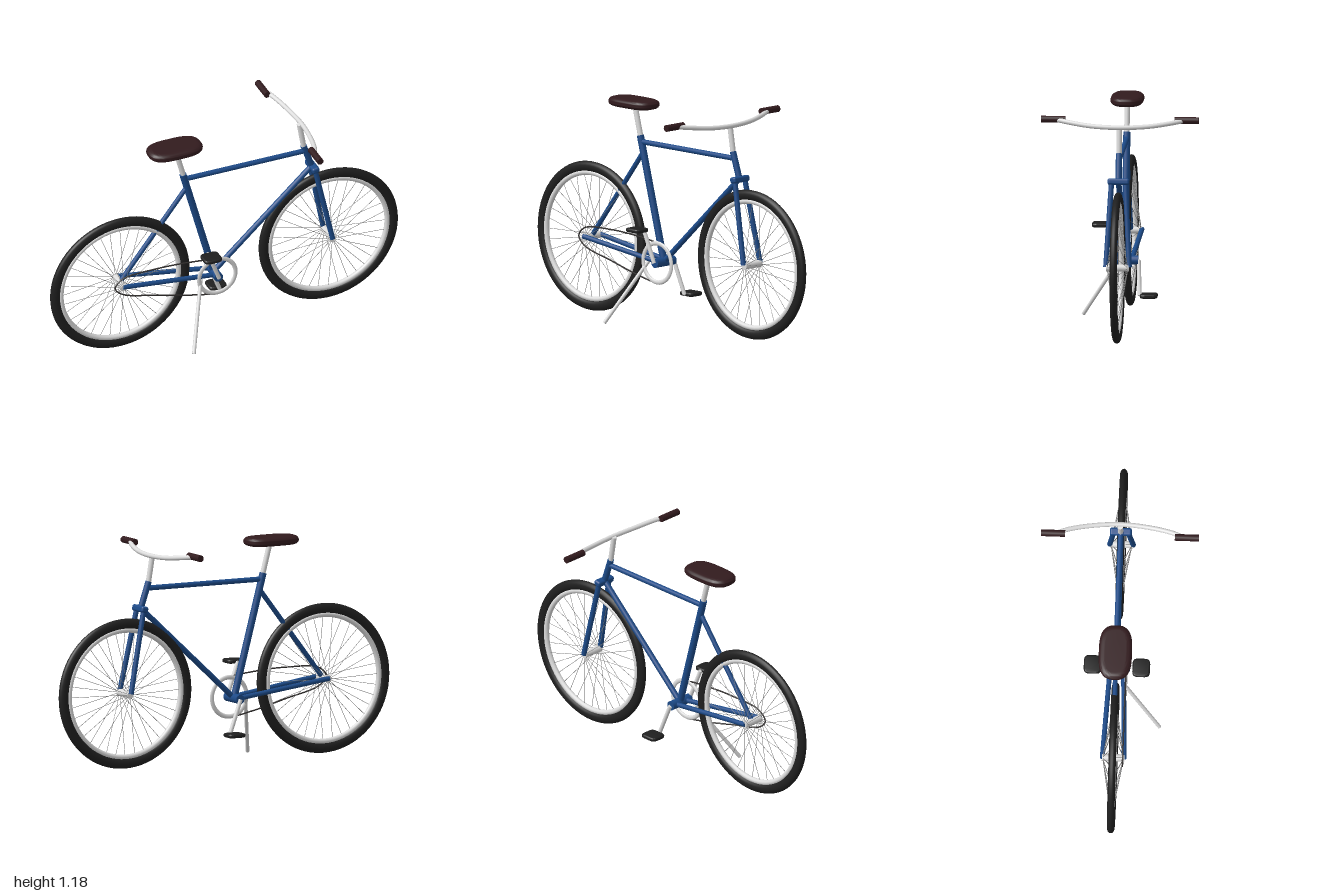
import * as THREE from 'three';
import { mergeGeometries, toCreasedNormals } from 'three/addons/utils/BufferGeometryUtils.js';
import { RoundedBoxGeometry } from 'three/addons/geometries/RoundedBoxGeometry.js';

const paint = (name, color) => {
  const m = new THREE.MeshStandardMaterial({ color });
  m.name = name;
  return m;
};
const V = (x, y, z = 0) => new THREE.Vector3(x, y, z);

// Cylinder geometry running from a to b
function rod(a, b, r, sides = 16) {
  const d = b.clone().sub(a);
  const g = new THREE.CylinderGeometry(r, r, d.length(), sides);
  g.applyQuaternion(new THREE.Quaternion().setFromUnitVectors(V(0, 1), d.normalize()));
  const mid = a.clone().add(b).multiplyScalar(0.5);
  return g.translate(mid.x, mid.y, mid.z);
}

// Flat pad with a rounded outline and soft edges, centred on its origin
function pad(halfX, halfZ, halfY, edge, power) {
  const outline = new THREE.Shape();
  for (let i = 0; i < 48; i++) {
    const a = i * Math.PI / 24, c = Math.cos(a), s = Math.sin(a);
    const x = (halfX - edge) * Math.sign(c) * Math.abs(c) ** power;
    const y = (halfZ - edge) * Math.sign(s) * Math.abs(s) ** power;
    i ? outline.lineTo(x, y) : outline.moveTo(x, y);
  }
  const depth = 0.004;
  const g = new THREE.ExtrudeGeometry(outline, {
    depth, bevelThickness: halfY - depth / 2, bevelSize: edge, bevelSegments: 8,
  }).translate(0, 0, -depth / 2).rotateX(-Math.PI / 2);
  return toCreasedNormals(g, 0.8);
}

export function createModel() {
  const blue = paint('frameBlue', 0x1c4a88);
  const silver = paint('silver', 0xdcdcdc);
  const rubber = paint('blackRubber', 0x1f1f1f);
  const leather = paint('brownLeather', 0x321b1e);
  const wire = paint('spokeGrey', 0x888888);
  const chainGrey = paint('chainGrey', 0x33302f);

  const bike = new THREE.Group();
  bike.name = 'bicycle';
  const add = (name, geo, mat, parent = bike) => {
    const m = new THREE.Mesh(geo, mat);
    m.name = name;
    parent.add(m);
    return m;
  };
  const tube = (name, a, b, r, mat = blue) => add(name, rod(a, b, r), mat);

  // Key joints
  const rearAxle = V(-0.6, 0.406), frontAxle = V(0.6, 0.406);
  const crankAxle = V(-0.06, 0.337), seatTop = V(-0.237, 0.993);
  const headTop = V(0.457, 0.995), headLow = V(0.508, 0.845);

  // Wheels: tyre, rim, hub and spokes, turned about z
  function wheel(name, centre) {
    const g = new THREE.Group();
    g.name = name;
    add('tyre', new THREE.TorusGeometry(0.372, 0.028, 14, 72).scale(1, 1, 0.72), rubber, g);
    add('rim', new THREE.TorusGeometry(0.339, 0.0145, 12, 72), silver, g);
    add('hub', rod(V(0, 0, -0.06), V(0, 0, 0.06), 0.019), silver, g);
    const spokes = [];
    for (let i = 0; i < 36; i++) {
      const a = i * Math.PI / 18, c = Math.cos(a), s = Math.sin(a);
      spokes.push(rod(V(c * 0.015, s * 0.015, i % 2 ? 0.054 : -0.054), V(c * 0.33, s * 0.33), 0.0013, 5));
    }
    add('spokes', mergeGeometries(spokes), wire, g);
    g.position.copy(centre);
    bike.add(g);
  }
  wheel('rearWheel', rearAxle);
  wheel('frontWheel', frontAxle);

  // Main frame tubes, with a single central seat stay
  tube('seatTube', crankAxle, seatTop, 0.019);
  tube('topTube', V(-0.225, 0.96), V(0.468, 0.96), 0.014);
  tube('downTube', crankAxle, V(0.504, 0.855), 0.015);
  tube('headTube', headLow, headTop, 0.017);
  tube('bottomBracket', V(-0.06, 0.337, -0.07), V(-0.06, 0.337, 0.07), 0.025);
  tube('seatStay', rearAxle, V(-0.208, 0.915), 0.013);

  // Paired chain stays and fork blades
  for (const [side, s] of [['left', 1], ['right', -1]]) {
    tube(side + 'ChainStay', V(-0.605, 0.41, s * 0.058), V(-0.06, 0.337, s * 0.035), 0.013);
    tube(side + 'ForkBlade', V(0.598, 0.41, s * 0.062), V(0.508, 0.85, s * 0.037), 0.014);
  }
  const crown = add('forkCrown', new RoundedBoxGeometry(0.042, 0.034, 0.116, 4, 0.012), blue);
  crown.position.set(0.508, 0.853, 0);
  crown.rotation.z = 0.2;

  // Saddle and post
  tube('seatPost', V(-0.23, 0.97), V(-0.278, 1.15), 0.0145, silver);
  add('saddle', pad(0.152, 0.088, 0.024, 0.032, 0.62), leather).position.set(-0.285, 1.163, 0);

  // Handlebar, stem and grips
  tube('stem', V(0.46, 0.98), V(0.434, 1.135), 0.0145, silver);
  const half = [[0.434, 1.137, 0.15], [0.405, 1.151, 0.27], [0.378, 1.16, 0.335]];
  const barPath = new THREE.CatmullRomCurve3([
    ...half.map(([x, y, z]) => V(x, y, -z)).reverse(), V(0.448, 1.132), ...half.map(p => V(...p)),
  ]);
  add('handlebar', new THREE.TubeGeometry(barPath, 60, 0.0125, 14), silver);
  for (const [side, s] of [['left', 1], ['right', -1]]) {
    tube(side + 'Grip', V(0.375, 1.162, s * 0.29), V(0.375, 1.162, s * 0.417), 0.018, leather);
    const cap = add(side + 'BarEnd', new THREE.SphereGeometry(0.0125, 12, 8), silver);
    cap.position.set(0.378, 1.16, s * 0.335);
  }

  // Chainring, with the chain looping from it round the rear hub
  const ring = add('chainring', new THREE.TorusGeometry(0.105, 0.012, 10, 56).scale(1, 1, 0.6), silver);
  ring.position.set(-0.06, 0.337, 0.05);
  const chainPath = new THREE.CatmullRomCurve3([
    [-0.648, 0.408], [-0.605, 0.455], [-0.4, 0.471], [-0.2, 0.461], [-0.06, 0.442], [0.014, 0.411], [0.045, 0.337],
    [0.014, 0.263], [-0.06, 0.232], [-0.2, 0.252], [-0.4, 0.303], [-0.605, 0.36],
  ].map(([x, y]) => V(x, y, 0.05)), true);
  add('chain', new THREE.TubeGeometry(chainPath, 140, 0.004, 6, true), chainGrey);

  // Cranks and pedals, opposite each other
  for (const [side, s] of [['left', 1], ['right', -1]]) {
    const end = V(-0.06 - s * 0.07, 0.337 + s * 0.178, s * 0.083);
    tube(side + 'Crank', V(-0.06, 0.337, s * 0.073), end, 0.011, silver);
    tube(side + 'PedalAxle', end, V(end.x, end.y, s * 0.13), 0.007, silver);
    add(side + 'Pedal', pad(0.051, 0.047, 0.0105, 0.01, 0.35), rubber).position.set(end.x, end.y, s * 0.131);
  }

  // Kickstand
  tube('kickstand', V(-0.145, 0.335, 0.028), V(-0.274, 0.009, 0.233), 0.01, silver);

  return bike;
}
